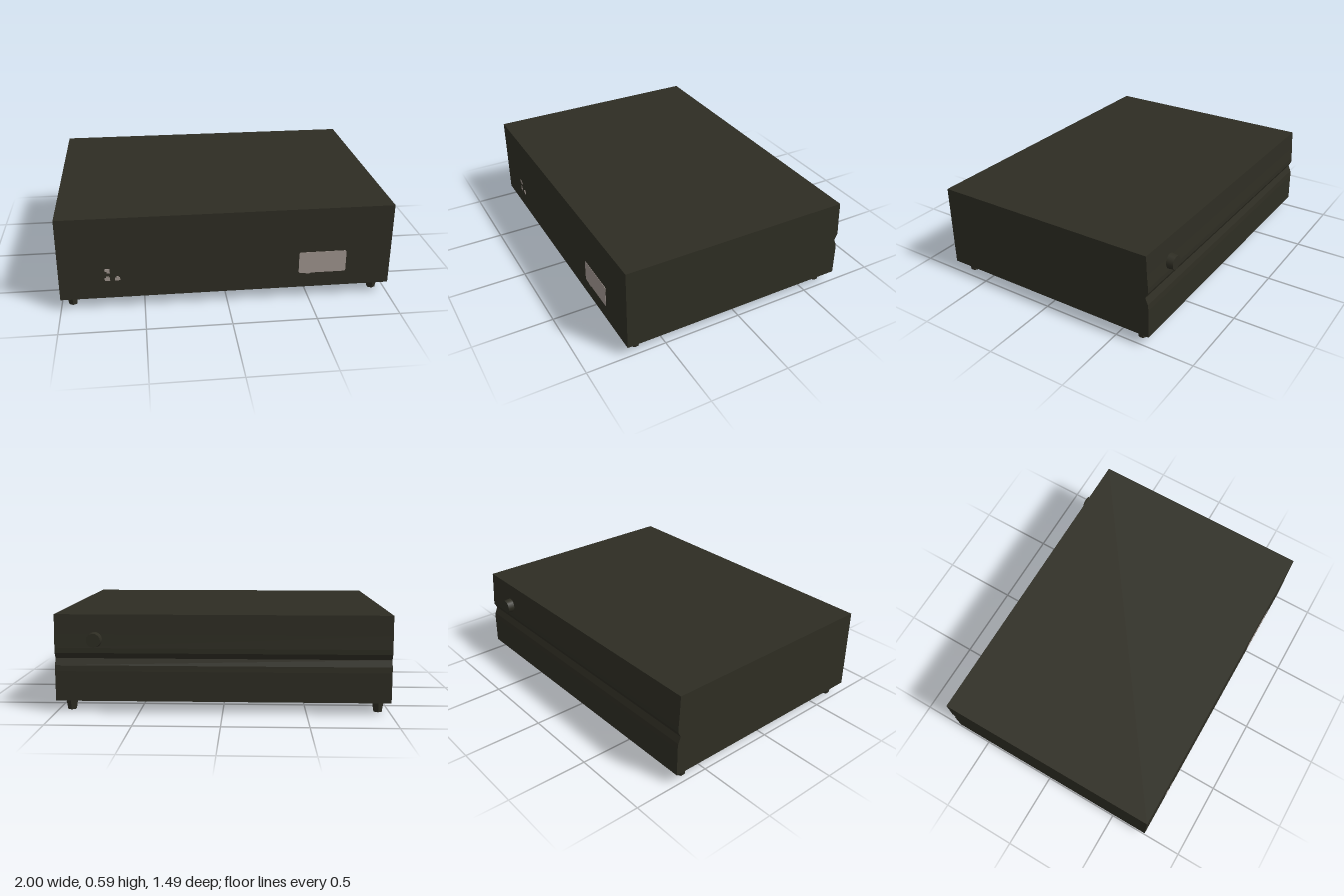
import * as THREE from 'three';

export function createModel() {
  const model = new THREE.Group();
  const casing = new THREE.MeshStandardMaterial({ name: 'dark olive casing', color: 0x2e2d23 });
  const label = new THREE.MeshStandardMaterial({ name: 'pale label', color: 0xa0958f });

  const add = (name, geometry, material, x = 0, y = 0, z = 0) => {
    const mesh = new THREE.Mesh(geometry, material);
    mesh.name = name;
    mesh.position.set(x, y, z);
    model.add(mesh);
    return mesh;
  };

  // Casing: side profile (z, y) with a groove across the back, swept along x
  const profile = new THREE.Shape([
    [0.744, 0.07], [0.744, 0.59], [-0.697, 0.59], [-0.704, 0.47], [-0.711, 0.39],
    [-0.711, 0.36], [-0.694, 0.326], [-0.711, 0.285], [-0.715, 0.25], [-0.718, 0.07],
  ].map(([z, y]) => new THREE.Vector2(z, y)));
  const body = new THREE.ExtrudeGeometry(profile, { depth: 2, bevelEnabled: false });
  body.rotateY(-Math.PI / 2).translate(1, 0, 0);
  add('casing', body, casing);

  // Tapered feet
  const foot = new THREE.CylinderGeometry(0.038, 0.027, 0.072, 6).toNonIndexed();
  foot.computeVertexNormals();
  for (const x of [-0.933, 0.923]) {
    for (const z of [0.663, -0.633]) {
      add(`${z > 0 ? 'front' : 'back'}${x > 0 ? 'Left' : 'Right'}Foot`, foot, casing, x, 0.036, z);
    }
  }

  // Control knob above the groove
  const knob = new THREE.CylinderGeometry(0.047, 0.042, 0.047, 16).rotateX(Math.PI / 2);
  knob.rotateY(0);
  add('knob', knob, casing, 0.76, 0.44, -0.7235);

  // Rounded label plate on the front
  const w = 0.145, h = 0.07, r = 0.012;
  const plate = new THREE.Shape();
  plate.absarc(w - r, h - r, r, 0, Math.PI / 2);
  plate.absarc(r - w, h - r, r, Math.PI / 2, Math.PI);
  plate.absarc(r - w, r - h, r, Math.PI, Math.PI * 1.5);
  plate.absarc(w - r, r - h, r, Math.PI * 1.5, Math.PI * 2);
  add('labelPlate', new THREE.ExtrudeGeometry(plate, { depth: 0.003, bevelEnabled: false, curveSegments: 4 }),
    label, 0.58, 0.236, 0.743);

  // Small pale markings: x, y, width, height
  const marks = [
    [0.495, 0.165, 0.03, 0.008],
    [-0.715, 0.256, 0.03, 0.016], [-0.709, 0.242, 0.02, 0.012],
    [-0.715, 0.196, 0.032, 0.02], [-0.715, 0.211, 0.016, 0.01],
    [-0.655, 0.196, 0.03, 0.02], [-0.655, 0.209, 0.014, 0.008],
  ];
  marks.forEach(([x, y, mw, mh], i) =>
    add(`marking${i + 1}`, new THREE.BoxGeometry(mw, mh, 0.003), label, x, y, 0.7445));

  return model;
}
